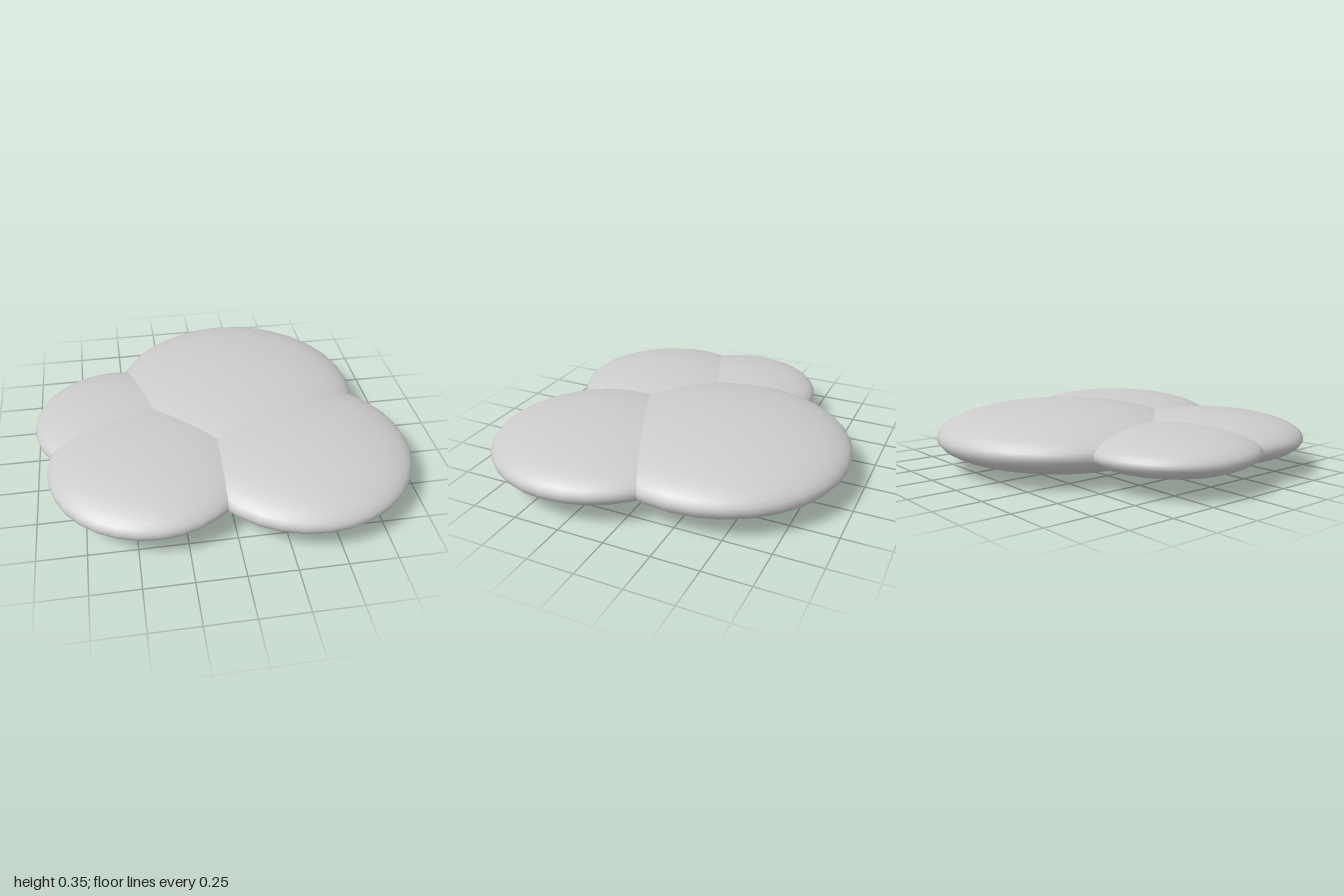
import * as THREE from 'three';

const CENTRE_Y = 0.176; // shared middle height of all lobes
const FLATTEN = 0.253;  // height relative to width

// name, centre x, centre z, radius
const LOBES = [
  ['backLargeLobe', 0.15, -0.25, 0.687],
  ['frontLeftLobe', 0.405, 0.34, 0.59],
  ['frontRightLobe', -0.398, 0.32, 0.532],
  ['backRightLobe', -0.54, -0.07, 0.46],
];

export function createModel() {
  const group = new THREE.Group();
  group.name = 'flatCloud';
  const material = new THREE.MeshStandardMaterial({ color: 0xcccccc });
  const sphere = new THREE.SphereGeometry(1, 32, 24);

  // overlapping flattened spheres
  for (const [name, x, z, r] of LOBES) {
    const lobe = new THREE.Mesh(sphere, material);
    lobe.name = name;
    lobe.position.set(x, CENTRE_Y, z);
    lobe.scale.set(r, r * FLATTEN, r);
    group.add(lobe);
  }
  return group;
}
